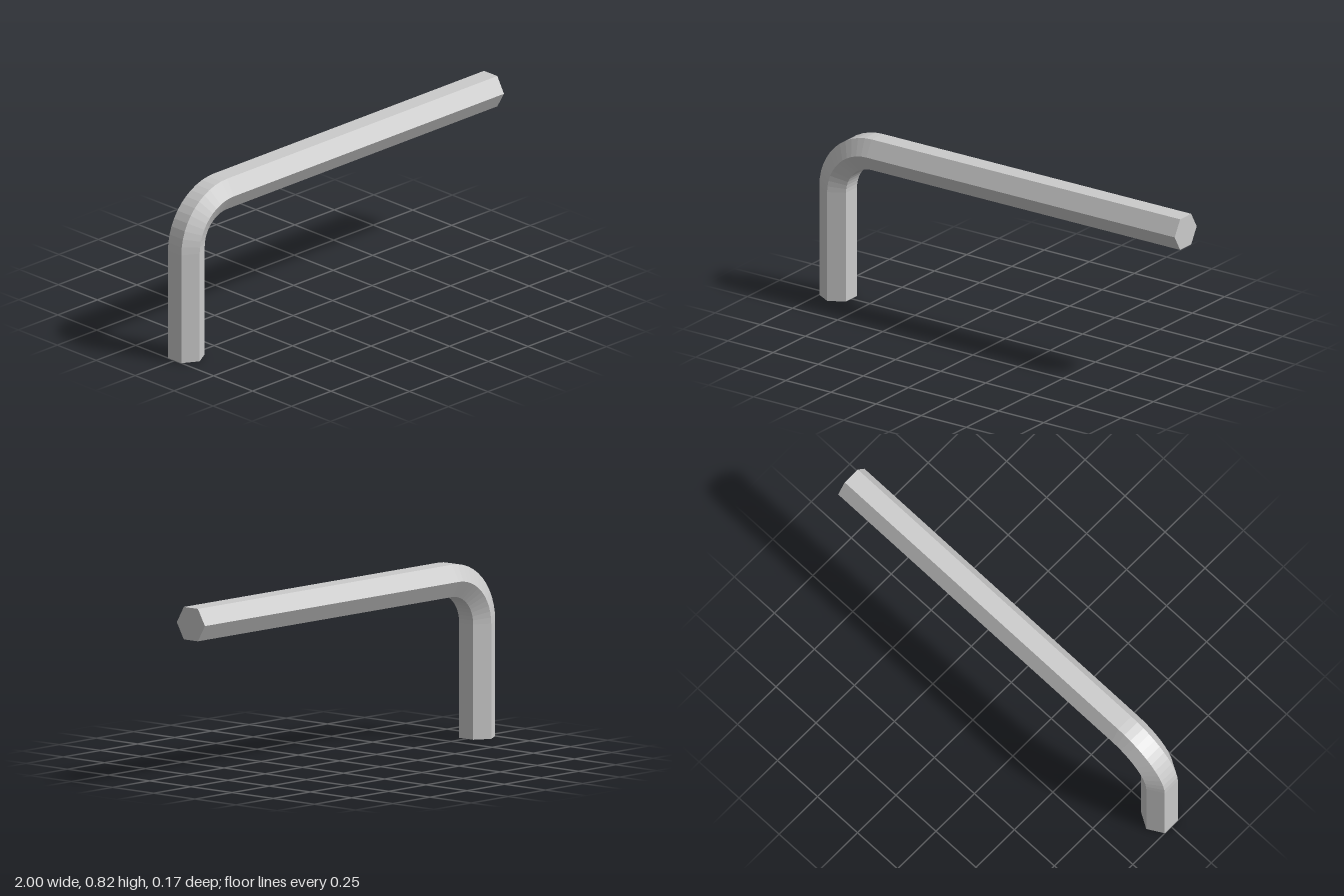
import * as THREE from 'three';

const HEX_RADIUS = 0.0855;               // centre to corner
const APOTHEM = HEX_RADIUS * Math.sqrt(3) / 2;
const BEND_RADIUS = 0.216;               // along the centreline
const BEND_STEPS = 12;
const TOP = 0.816;

// Sweep a hexagon along stations { x, y, a }, where a is the angle of the outward normal.
function sweepHexagon(stations) {
  const positions = [];
  const index = [];
  for (const { x, y, a } of stations) {
    for (let k = 0; k < 6; k++) {
      const n = HEX_RADIUS * Math.sin(k * Math.PI / 3);
      positions.push(x + n * Math.cos(a), y + n * Math.sin(a), HEX_RADIUS * Math.cos(k * Math.PI / 3));
    }
  }
  // Six long faces
  for (let i = 0; i < stations.length - 1; i++) {
    for (let k = 0; k < 6; k++) {
      const p = i * 6 + k;
      const q = i * 6 + (k + 1) % 6;
      index.push(p, p + 6, q + 6, p, q + 6, q);
    }
  }
  // Flat ends
  const last = (stations.length - 1) * 6;
  for (let k = 1; k < 5; k++) {
    index.push(0, k, k + 1);
    index.push(last, last + k + 1, last + k);
  }
  const geometry = new THREE.BufferGeometry();
  geometry.setAttribute('position', new THREE.Float32BufferAttribute(positions, 3));
  geometry.setIndex(index);
  const flat = geometry.toNonIndexed();
  flat.computeVertexNormals();
  return flat;
}

export function createModel() {
  const group = new THREE.Group();
  group.name = 'hexKey';

  const bendX = -1 + APOTHEM + BEND_RADIUS;
  const bendY = TOP - APOTHEM - BEND_RADIUS;

  // Short arm, quarter bend, long arm
  const stations = [{ x: bendX - BEND_RADIUS, y: 0, a: Math.PI }];
  for (let i = 0; i <= BEND_STEPS; i++) {
    const a = Math.PI - (i / BEND_STEPS) * Math.PI / 2;
    stations.push({ x: bendX + BEND_RADIUS * Math.cos(a), y: bendY + BEND_RADIUS * Math.sin(a), a });
  }
  stations.push({ x: 1, y: bendY + BEND_RADIUS, a: Math.PI / 2 });

  const material = new THREE.MeshStandardMaterial({ color: 0xcccccc, flatShading: true });
  const bar = new THREE.Mesh(sweepHexagon(stations), material);
  bar.name = 'bentHexBar';
  group.add(bar);
  return group;
}
